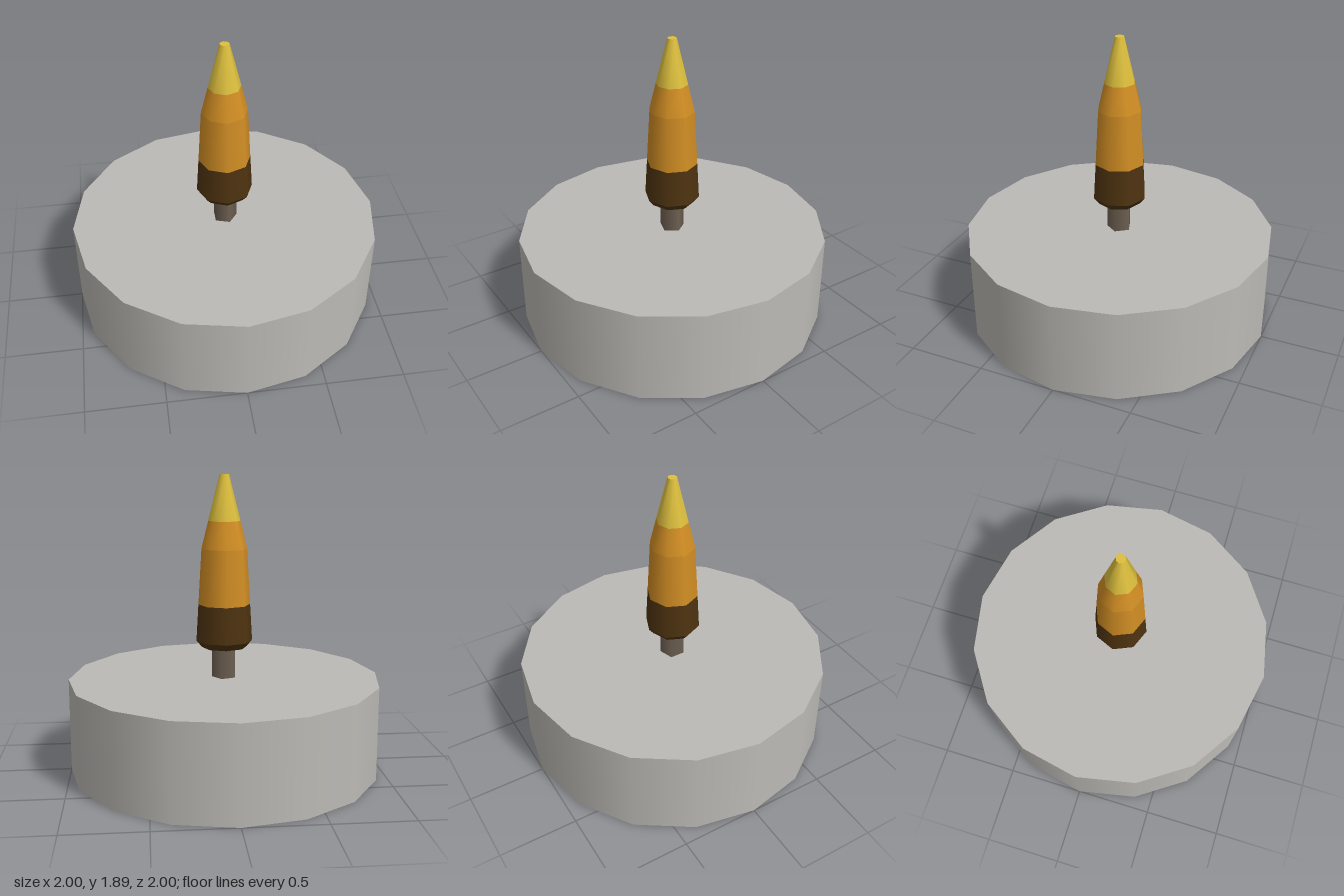
import * as THREE from 'three';

export function createModel() {
  const material = (name, color) => {
    const m = new THREE.MeshStandardMaterial({ color });
    m.name = name;
    return m;
  };
  const grey = material('stone grey', 0xbcbab5);
  const wickBrown = material('wick brown', 0x6e6052);
  const dark = material('dark brown', 0x4e3310);
  const orange = material('amber orange', 0xd28e24);
  const yellow = material('flame yellow', 0xddbf3e);

  const root = new THREE.Group();
  root.name = 'candle';

  // Tapered cylinder between two heights
  const band = (name, parent, mat, [r0, y0], [r1, y1], sides, open = false, start = 0) => {
    const geometry = new THREE.CylinderGeometry(r1, r0, y1 - y0, sides, 1, open, start);
    geometry.translate(0, (y0 + y1) / 2, 0);
    const mesh = new THREE.Mesh(geometry, mat);
    mesh.name = name;
    parent.add(mesh);
    return mesh;
  };

  // Wide body and five-sided wick, with one corner towards +x
  band('body', root, grey, [1, 0], [1, 0.6], 16);
  band('wick', root, wickBrown, [0.08, 0.6], [0.08, 0.81], 5, false, Math.PI / 2);

  // Flame, slightly flattened front to back
  const flame = new THREE.Group();
  flame.name = 'flame';
  flame.scale.z = 0.97;
  root.add(flame);

  const profile = [[0.145, 0.797], [0.18, 0.84], [0.166, 1.075], [0.145, 1.43], [0.102, 1.605], [0.03, 1.893]];
  const bands = [['flameFoot', dark], ['flameBase', dark], ['flameMiddle', orange],
    ['flameShoulder', orange], ['flameTip', yellow]];
  bands.forEach(([name, mat], i) => band(name, flame, mat, profile[i], profile[i + 1], 8, true));

  // Flat ends of the flame
  const cap = (name, mat, [r, y], facing) => {
    const geometry = new THREE.CircleGeometry(r, 8);
    geometry.rotateX(-facing * Math.PI / 2);
    const mesh = new THREE.Mesh(geometry, mat);
    mesh.name = name;
    mesh.position.y = y;
    flame.add(mesh);
  };
  cap('flameUnderside', dark, profile[0], -1);
  cap('flameTop', yellow, profile[5], 1);

  return root;
}
